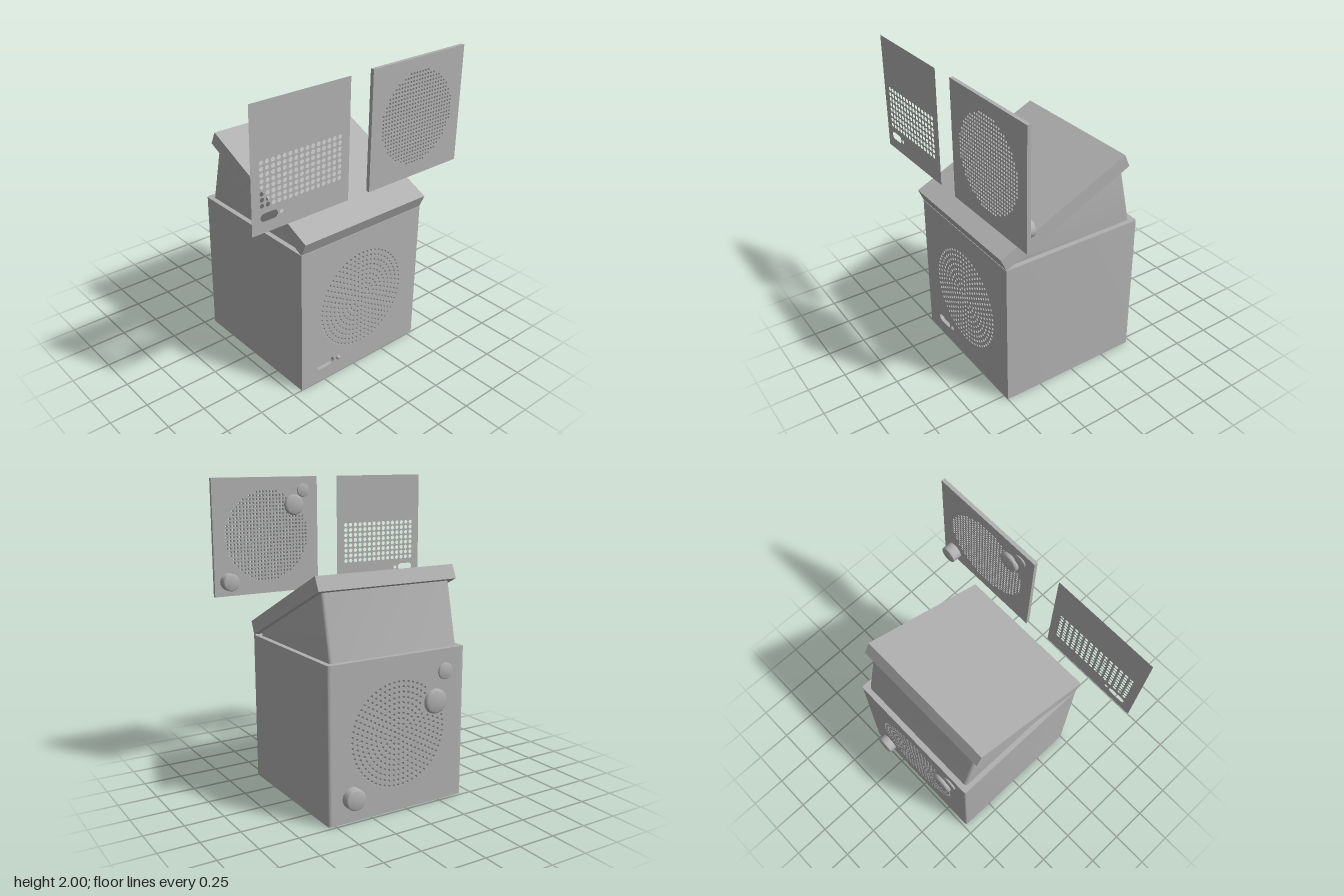
import * as THREE from 'three';
import { toCreasedNormals } from 'three/addons/utils/BufferGeometryUtils.js';

const grey = new THREE.MeshStandardMaterial({ color: 0xb0b0b0 });
grey.name = 'grey';
const greySheet = new THREE.MeshStandardMaterial({ color: 0xb0b0b0, side: THREE.DoubleSide });
greySheet.name = 'grey sheet';

const CX = 0.053, HALF = 0.4875, TOP = 0.98, WALL = 0.03;

function add(parent, name, geometry, material = grey) {
  const mesh = new THREE.Mesh(geometry, material);
  mesh.name = name;
  parent.add(mesh);
  return mesh;
}

function polygon(points) {
  return new THREE.Shape(points.map(([x, y]) => new THREE.Vector2(x, y)));
}

function rect(x0, x1, y0, y1) {
  return polygon([[x0, y0], [x1, y0], [x1, y1], [x0, y1]]);
}

function hole(shape, x, y, r) {
  shape.holes.push(new THREE.Path().absarc(x, y, r, 0, Math.PI * 2, true));
}

// Pill-shaped opening
function slot(shape, x0, x1, y, r) {
  const p = new THREE.Path();
  p.absarc(x0 + r, y, r, Math.PI / 2, Math.PI * 1.5, false);
  p.absarc(x1 - r, y, r, -Math.PI / 2, Math.PI / 2, false);
  p.closePath();
  shape.holes.push(p);
}

// Concentric rings of holes; "skip" leaves out those under a fitting
function ringHoles(shape, skip) {
  for (let k = 0; k <= 10; k++) {
    const n = Math.max(1, 6 * k);
    for (let i = 0; i < n; i++) {
      const a = (i / n) * Math.PI * 2 + Math.PI / 2;
      const x = CX + 0.0328 * k * Math.cos(a), y = 0.49 + 0.0328 * k * Math.sin(a);
      if (skip && Math.hypot(x - skip.x, y - skip.y) < skip.r) continue;
      hole(shape, x, y, 0.0095);
    }
  }
}

function plate(shape, z, depth) {
  return new THREE.ExtrudeGeometry(shape, { depth, bevelEnabled: false, curveSegments: 4 })
    .translate(0, 0, z);
}

function box(x0, x1, y0, y1, z0, z1) {
  return new THREE.BoxGeometry(x1 - x0, y1 - y0, z1 - z0)
    .translate((x0 + x1) / 2, (y0 + y1) / 2, (z0 + z1) / 2);
}

// Side profile (z, y) swept along x, from x0 to x1
function sideSweep(points, x0, x1, bevel = 0) {
  const g = new THREE.ExtrudeGeometry(polygon(points), {
    depth: x1 - x0 - 2 * bevel, bevelEnabled: bevel > 0, bevelThickness: bevel,
    bevelSize: bevel, bevelOffset: -bevel, bevelSegments: 4,
  });
  return g.rotateY(-Math.PI / 2).translate(x1 - bevel, 0, 0);
}

// Round fitting that stands out backwards from a plate at z
function button(parent, name, x, y, z, r, depth, chamfer) {
  const profile = [[r, 0], [r, depth - chamfer], [r - chamfer * 0.3, depth - chamfer * 0.3],
    [r - chamfer, depth], [0, depth]].map(([a, b]) => new THREE.Vector2(a, b));
  const g = toCreasedNormals(new THREE.LatheGeometry(profile, 32), 0.9);
  add(parent, name, g.rotateX(-Math.PI / 2).translate(x, y, z));
}

function buildBody() {
  const body = new THREE.Group();
  body.name = 'body';
  const x0 = CX - HALF, x1 = CX + HALF;

  // Side walls with rounded rear corners (drawn in x, -z)
  for (const side of [-1, 1]) {
    const r = 0.018, outer = CX + side * HALF, inner = outer - side * WALL;
    const s = new THREE.Shape();
    s.moveTo(inner, -0.465);
    s.lineTo(outer, -0.465);
    s.lineTo(outer, 0.48 - r);
    s.quadraticCurveTo(outer, 0.48, outer - side * r, 0.48);
    s.lineTo(inner, 0.48);
    const g = plate(s, 0, TOP).rotateX(-Math.PI / 2);
    add(body, side > 0 ? 'leftWall' : 'rightWall', toCreasedNormals(g, 0.6));
  }
  add(body, 'floor', box(x0 + WALL, x1 - WALL, 0, WALL, -0.45, 0.465));
  add(body, 'ceiling', box(x0 + WALL, x1 - WALL, TOP - WALL, TOP, -0.45, 0.465));

  // Perforated front with a slot and a small light
  const front = rect(x0, x1, 0, TOP);
  ringHoles(front);
  slot(front, -0.31, -0.17, 0.115, 0.026);
  add(body, 'frontGrille', plate(front, 0.465, 0.035));
  add(body, 'slotBacking', box(-0.33, -0.15, 0.07, 0.16, 0.455, 0.475));
  add(body, 'indicatorLight', new THREE.SphereGeometry(0.016, 16, 12).translate(-0.135, 0.115, 0.5));

  // Perforated back with its fittings
  const back = rect(x0 + WALL, x1 - WALL, 0, TOP);
  ringHoles(back, { x: -0.215, y: 0.655, r: 0.095 });
  add(body, 'backGrille', plate(back, -0.48, 0.03));
  button(body, 'backKnob', 0.382, 0.155, -0.48, 0.066, 0.055, 0.008);
  button(body, 'largeBackDisc', -0.215, 0.657, -0.48, 0.079, 0.026, 0.014);
  button(body, 'smallBackDisc', -0.29, 0.838, -0.48, 0.052, 0.012, 0.004);

  // Speaker drum inside
  add(body, 'speaker', new THREE.CylinderGeometry(0.255, 0.255, 0.35, 32)
    .rotateX(Math.PI / 2).translate(CX, 0.49, 0.2));
  return body;
}

function buildTop() {
  const top = new THREE.Group();
  top.name = 'slopedTop';
  const wedge = sideSweep([[0.46, 0.955], [-0.45, 0.955], [-0.347, 1.415], [0.46, 1.035]],
    -0.402, 0.507, 0.022);
  add(top, 'wedge', toCreasedNormals(wedge, 0.5));
  add(top, 'lid', sideSweep([[0.498, 0.982], [-0.385, 1.39], [-0.345, 1.475], [0.535, 1.066]],
    CX - HALF, CX + HALF));
  return top;
}

// Thin loose panel with a rectangular hole field
function buildThinPanel() {
  const s = rect(-0.8, -0.115, 1.25, 2);
  for (let c = 0; c < 15; c++)
    for (let r = 0; r < 8; r++) hole(s, -0.73 + c * 0.0388, 1.415 + r * 0.0357, 0.0135);
  slot(s, -0.742, -0.625, 1.343, 0.024);
  hole(s, -0.6, 1.343, 0.012);
  const g = new THREE.ShapeGeometry(s, 8).translate(0, 0, 0.533);
  const panel = new THREE.Group();
  panel.name = 'thinPanel';
  add(panel, 'thinPanelSheet', g, greySheet);
  return panel;
}

// Thick loose panel with a round field of gridded holes
function buildThickPanel() {
  const panel = new THREE.Group();
  panel.name = 'thickPanel';
  const s = rect(0.05, 0.797, 1.25, 2), step = 0.0235;
  for (let i = -12; i <= 12; i++)
    for (let j = -12; j <= 12; j++)
      if (Math.hypot(i, j) < 12.4) hole(s, 0.423 + i * step, 1.625 + j * step, 0.0082);
  add(panel, 'thickPanelGrille', plate(s, 0.511, 0.024));
  button(panel, 'panelKnob', 0.705, 1.345, 0.511, 0.055, 0.063, 0.006);
  button(panel, 'largePanelDisc', 0.228, 1.818, 0.511, 0.067, 0.024, 0.012);
  button(panel, 'smallPanelDisc', 0.155, 1.91, 0.511, 0.043, 0.008, 0.003);
  return panel;
}

export function createModel() {
  const model = new THREE.Group();
  model.name = 'speakerCabinet';
  model.add(buildBody(), buildTop(), buildThinPanel(), buildThickPanel());
  return model;
}
